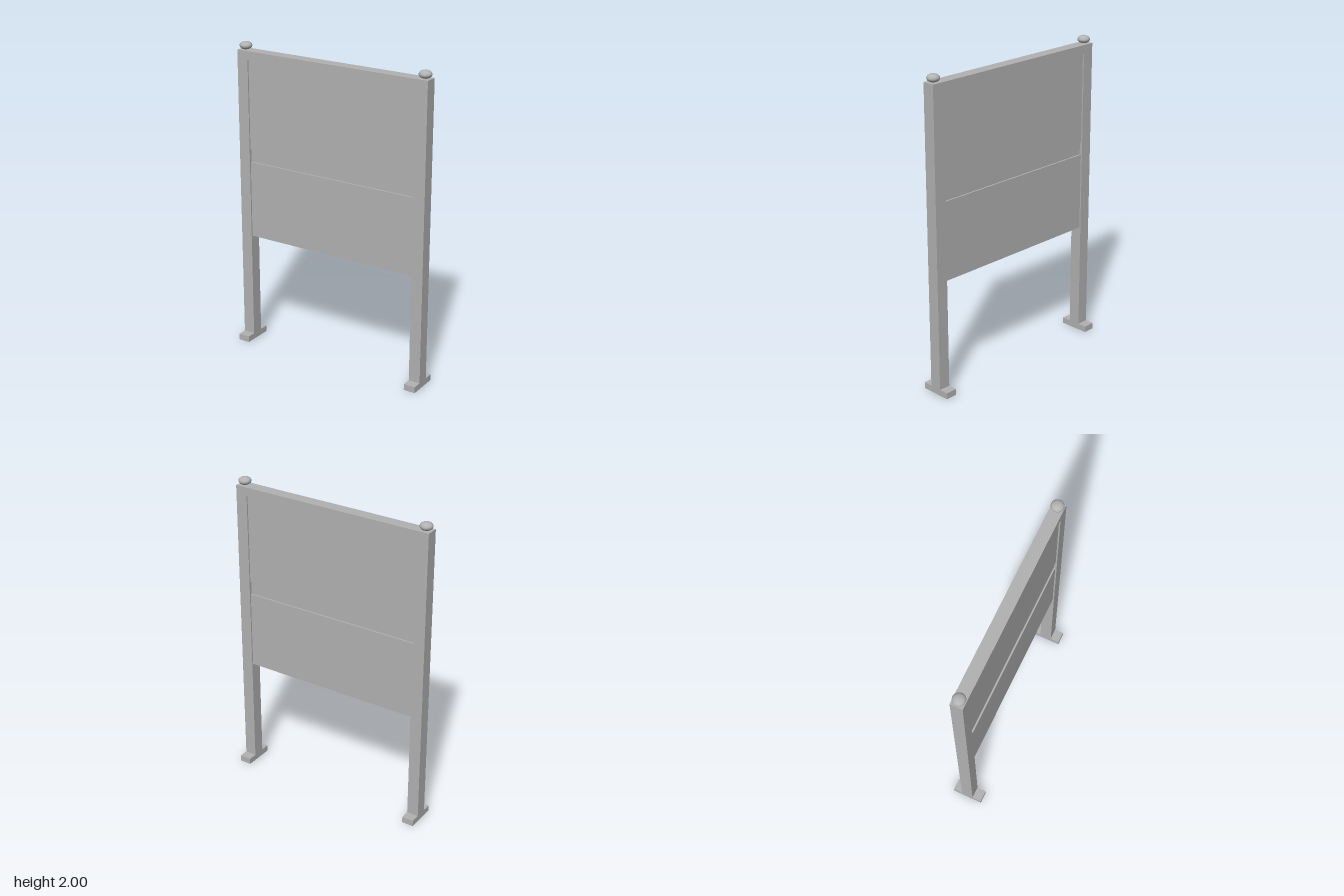
import * as THREE from 'three';

export function createModel() {
  const model = new THREE.Group();
  const grey = new THREE.MeshStandardMaterial({ color: 0xb2b2b2 });
  grey.name = 'grey';

  // Box given by its lower and upper limits in x and y, and its full depth in z
  function box(name, x0, x1, y0, y1, depth) {
    const mesh = new THREE.Mesh(new THREE.BoxGeometry(x1 - x0, y1 - y0, depth), grey);
    mesh.position.set((x0 + x1) / 2, (y0 + y1) / 2, 0);
    mesh.name = name;
    model.add(mesh);
  }

  const inner = 0.59, outer = 0.666, top = 1.95, postDepth = 0.078;

  // Posts with feet and flattened ball finials
  for (const [side, s] of [['left', 1], ['right', -1]]) {
    const x0 = Math.min(s * inner, s * outer), x1 = Math.max(s * inner, s * outer);
    box(side + 'Post', x0, x1, 0.04, top, postDepth);
    box(side + 'Foot', x0, x1, 0, 0.04, 0.198);

    const finial = new THREE.Mesh(new THREE.SphereGeometry(0.039, 32, 20), grey);
    finial.scale.y = 0.025 / 0.039;
    finial.position.set((x0 + x1) / 2, 1.975, 0);
    finial.name = side + 'Finial';
    model.add(finial);
  }

  // Top rail, flush with the posts
  box('topRail', -inner, inner, 1.895, top, postDepth);

  // Two panels set slightly back, with a deeper recessed strip between them
  box('upperPanel', -inner, inner, 1.32, 1.895, 0.06);
  box('recessedStrip', -inner, inner, 1.235, 1.32, 0.04);
  box('lowerPanel', -inner, inner, 0.735, 1.235, 0.06);

  return model;
}
